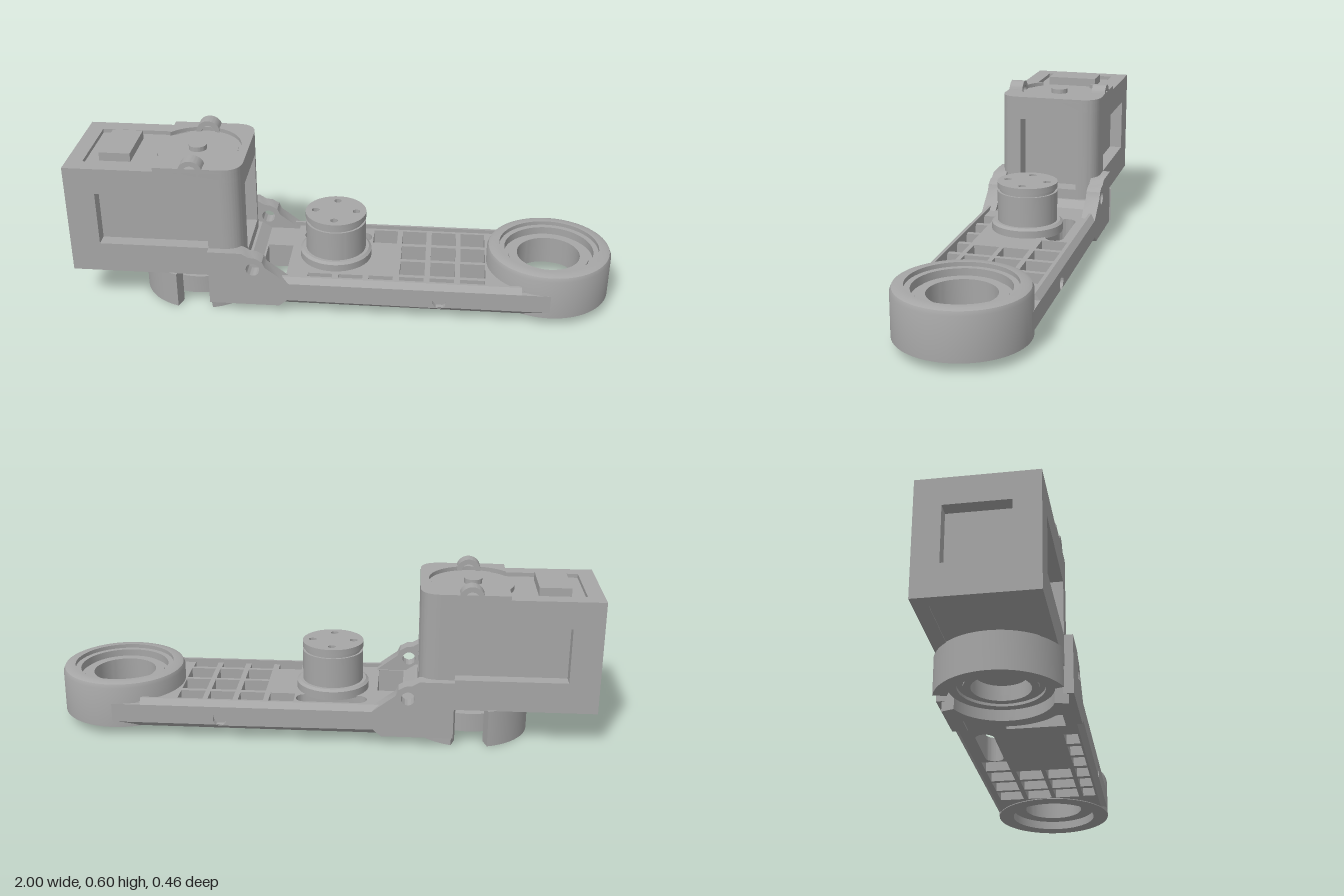
import * as THREE from 'three';
import { toCreasedNormals } from 'three/addons/utils/BufferGeometryUtils.js';

export function createModel() {
  const model = new THREE.Group();
  const grey = new THREE.MeshStandardMaterial({ color: 0xa6a6a6 });
  grey.name = 'plain grey';
  const PI = Math.PI;

  const add = (name, geo) => {
    const mesh = new THREE.Mesh(toCreasedNormals(geo, 0.6), grey);
    mesh.name = name;
    model.add(mesh);
    return mesh;
  };
  const box = (name, x0, x1, y0, y1, z0, z1) => add(name,
    new THREE.BoxGeometry(x1 - x0, y1 - y0, z1 - z0)
      .translate((x0 + x1) / 2, (y0 + y1) / 2, (z0 + z1) / 2));
  const extrude = (shape, depth) =>
    new THREE.ExtrudeGeometry(shape, { depth, bevelEnabled: false, curveSegments: 24 });
  // Plan outline (x, -z) raised from y0 to y1
  const plan = (name, shape, y0, y1) =>
    add(name, extrude(shape, y1 - y0).rotateX(-PI / 2).translate(0, y0, 0));
  // Side outline (x, y) between z0 and z1
  const side = (name, shape, z0, z1) => add(name, extrude(shape, z1 - z0).translate(0, 0, z0));
  // Cross-section (z, y) swept from x0 to x1
  const cross = (name, shape, x0, x1) =>
    add(name, extrude(shape, x1 - x0).rotateY(PI / 2).translate(x0, 0, 0));
  const poly = (pts) => new THREE.Shape(pts.map(([x, y]) => new THREE.Vector2(x, y)));
  const rect = (x0, x1, y0, y1) => poly([[x0, y0], [x1, y0], [x1, y1], [x0, y1]]);
  const circle = (x, y, r) => new THREE.Shape().absarc(x, y, r, 0, 2 * PI, false);
  const cut = (shape, ...holes) => { shape.holes.push(...holes); return shape; };
  // Closed profile (radius, y), outer side going up
  const turn = (name, x, pts) => add(name, new THREE.LatheGeometry(
    pts.map(([r, y]) => new THREE.Vector2(r, y)), 64).translate(x, 0, 0));

  const ringX = 0.765, hornX = -0.545, pulleyX = -0.035;

  // Motor housing: core, window walls and rounded corner posts
  box('motorCore', -0.95, -0.43, 0.137, 0.54, -0.15, 0.15);
  for (const s of [1, -1]) {
    const wall = cut(rect(-1, -0.44, 0.135, 0.52), rect(-0.89, -0.485, 0.25, 0.455));
    side('housingSideWall', wall, s > 0 ? 0.15 : -0.2, s > 0 ? 0.2 : -0.15);
    const post = new THREE.Shape().moveTo(-0.44, s * 0.115).lineTo(-0.355, s * 0.115)
      .lineTo(-0.355, s * 0.125)
      .quadraticCurveTo(-0.357, s * 0.198, -0.43, s * 0.2).lineTo(-0.44, s * 0.2);
    plan('housingCornerPost', post, 0.135, 0.52);
  }
  cross('housingEndWall', cut(rect(-0.15, 0.15, 0.135, 0.52), rect(-0.11, 0.11, 0.25, 0.455)), -1, -0.95);
  box('windowSill', -0.44, -0.355, 0.135, 0.2, -0.115, 0.115);
  box('windowLintel', -0.44, -0.355, 0.48, 0.52, -0.115, 0.115);

  // Housing lid with a pocket, and the raised half around the round seat
  const lid = new THREE.Shape().moveTo(-1, -0.2).lineTo(-0.43, -0.2)
    .quadraticCurveTo(-0.357, -0.198, -0.355, -0.125).lineTo(-0.355, 0.125)
    .quadraticCurveTo(-0.357, 0.198, -0.43, 0.2).lineTo(-1, 0.2);
  plan('housingLid', cut(lid, rect(-0.94, -0.5, -0.14, 0.14)), 0.52, 0.555);
  const a = 2.468;
  const rim = new THREE.Shape().moveTo(-0.67, -0.2).lineTo(-0.43, -0.2)
    .quadraticCurveTo(-0.357, -0.198, -0.355, -0.125).lineTo(-0.355, 0.125)
    .quadraticCurveTo(-0.357, 0.198, -0.43, 0.2).lineTo(-0.67, 0.2).lineTo(-0.67, 0.1)
    .absarc(hornX, 0, 0.16, a, -a, true);
  plan('lidRim', rim, 0.555, 0.57);
  plan('roundSeat', circle(hornX, 0, 0.15), 0.535, 0.557);
  plan('topPeg', circle(hornX, 0, 0.033), 0.55, 0.575);
  box('topPad', -0.89, -0.775, 0.53, 0.573, -0.1, 0.1);
  for (const z of [0.145, -0.2]) {
    side('hingeEar', cut(circle(-0.535, 0.555, 0.045), circle(-0.535, 0.555, 0.026)), z, z + 0.055);
  }

  // Output bearing below the motor, held by two curved jaws
  const jaw = (from, to) => new THREE.Shape()
    .absarc(hornX, 0, 0.222, from, to, false).absarc(hornX, 0, 0.175, to, from, true);
  plan('outerJaw', jaw(PI / 2 + 0.3, 1.5 * PI - 0.3), 0, 0.137);
  plan('innerJaw', jaw(-PI / 2 + 0.3, PI / 2 - 0.3), 0, 0.13);
  turn('outputBearing', hornX, [[0.1, 0.04], [0.125, 0.04], [0.125, 0.05], [0.145, 0.05],
    [0.145, 0.04], [0.175, 0.04], [0.175, 0.11], [0.1, 0.11], [0.1, 0.04]]);
  plan('outputHub', circle(hornX, 0, 0.09), 0.09, 0.137);

  // Arm deck with lattice holes, slot and pocket
  const deck = new THREE.Shape().moveTo(-0.485, -0.21).lineTo(ringX, -0.21)
    .absarc(ringX, 0, 0.21, -PI / 2, PI / 2, true)
    .lineTo(-0.485, 0.21).lineTo(-0.485, 0.191)
    .absarc(hornX, 0, 0.2, 1.266, -1.266, true);
  const window = (x0, x1, z0, z1) => deck.holes.push(rect(x0, x1, -z1, -z0));
  const columns = [0.1, 0.213, 0.326, 0.438];
  for (const x of columns) {
    window(x, x + 0.093, -0.187, -0.092);
    if (x > 0.15) {
      window(x, x + 0.093, -0.073, 0.023);
      window(x, x + 0.093, 0.04, 0.135);
    }
  }
  for (const x of [-0.125, -0.012, ...columns]) window(x, x + 0.09, 0.152, 0.202);
  window(-0.3, -0.205, -0.04, 0.17);
  deck.holes.push(new THREE.Shape().absarc(0.06, 0.13, 0.034, -PI / 2, PI / 2, false)
    .absarc(-0.135, 0.13, 0.034, PI / 2, 1.5 * PI, false));
  plan('armDeck', deck, 0.04, 0.135);
  cross('deckFillet', poly([[-0.175, 0.13], [0.175, 0.13], [0.175, 0.16], [-0.175, 0.16]]), -0.36, -0.345);
  side('deckRamp', poly([[-0.345, 0.13], [-0.3, 0.13], [-0.345, 0.16]]), -0.175, 0.175);

  // Chamfered side rails and hinge brackets, mirrored
  for (const s of [1, -1]) {
    const z = (z0, z1) => (s > 0 ? [z0, z1] : [-z1, -z0]);
    const rail = cut(rect(-0.22, ringX, 0.06, 0.13), circle(0.365, 0.082, 0.025));
    side('armRail', rail, ...z(0.21, 0.23));
    cross('railTopChamfer', poly([[s * 0.2, 0.13], [s * 0.23, 0.13], [s * 0.21, 0.15], [s * 0.2, 0.15]]), -0.22, 0.66);
    cross('railBottomChamfer', poly([[s * 0.21, 0.04], [s * 0.23, 0.06], [s * 0.21, 0.06]]), -0.22, ringX);
    const bracket = poly([[-0.485, 0.035], [-0.225, 0.035], [-0.19, 0.065], [-0.19, 0.13],
      [-0.215, 0.15], [-0.275, 0.195], [-0.285, 0.218], [-0.31, 0.232], [-0.335, 0.235],
      [-0.36, 0.25], [-0.485, 0.25]]);
    side('hingeBracket', cut(bracket, circle(-0.32, 0.185, 0.025)), ...z(0.175, 0.23));
  }

  // End ring with stepped bearing seat
  turn('endRing', ringX, [[0.17, 0.037], [0.23, 0.037], [0.23, 0.19], [0.224, 0.204], [0.21, 0.21],
    [0.185, 0.21], [0.185, 0.195], [0.165, 0.195], [0.165, 0.165], [0.15, 0.165], [0.15, 0.175],
    [0.117, 0.175], [0.117, 0.07], [0.17, 0.07], [0.17, 0.037]]);

  // Pulley with flange, groove and drilled cap
  turn('pulleyBody', pulleyX, [[0, 0.13], [0.135, 0.13], [0.135, 0.162], [0.125, 0.17], [0.113, 0.17],
    [0.113, 0.285], [0.105, 0.285], [0.105, 0.3], [0, 0.3]]);
  const cap = circle(pulleyX, 0, 0.114);
  for (let i = 0; i < 4; i++) {
    const t = i * PI / 2;
    cap.holes.push(circle(pulleyX + 0.077 * Math.cos(t), 0.077 * Math.sin(t), 0.014));
  }
  plan('pulleyCap', cap, 0.298, 0.32);

  return model;
}
